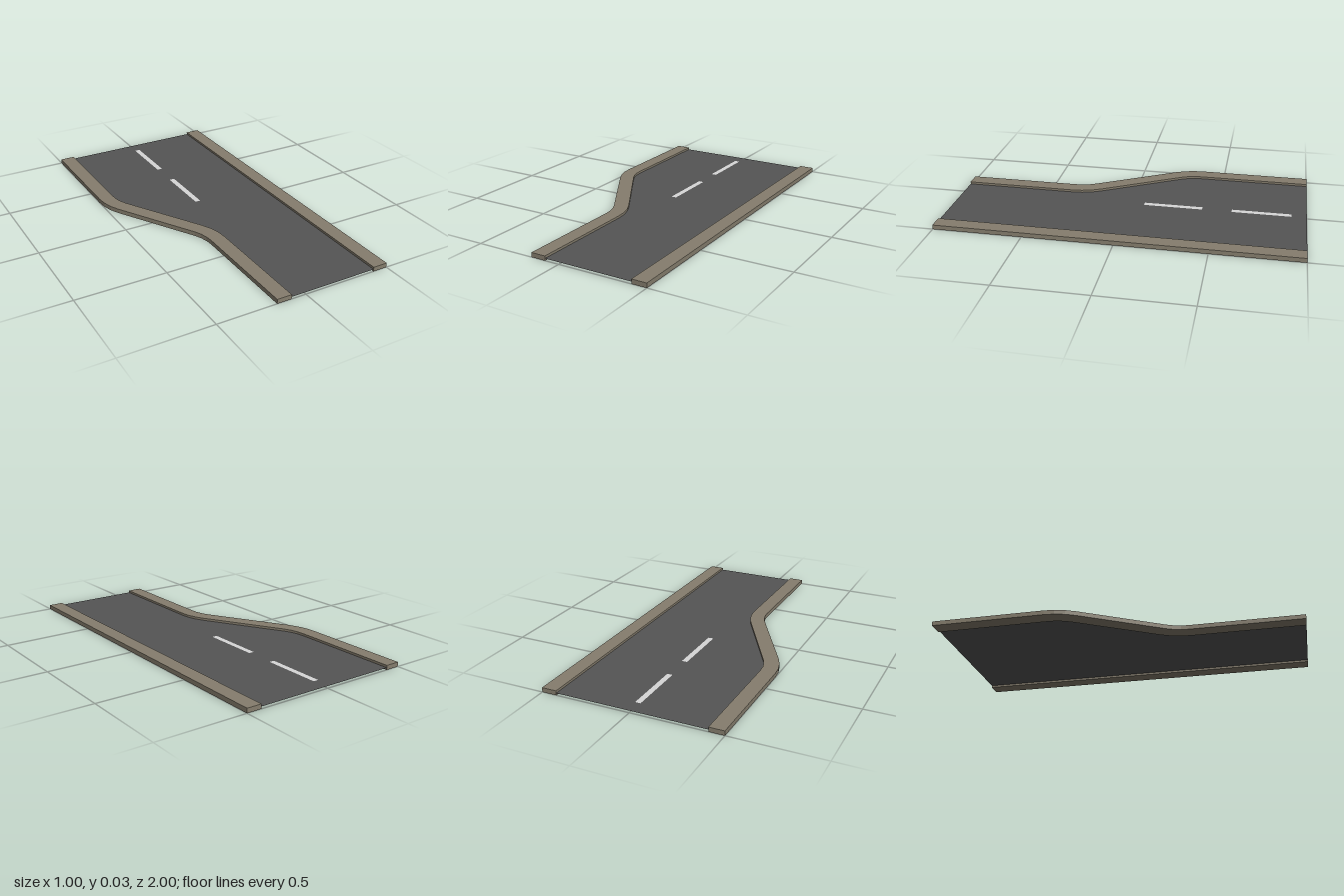
import * as THREE from 'three';

const ROAD_Y = 0.012, CURB_H = 0.025, HALF = 0.5, CURB_W = 1 / 12, LENGTH = 2;

// Edge of the narrowing side, back to front, at a given inset from the outer kerb line
function taperEdge(inset, steps = 3) {
  const pts = [[-0.5 + inset, -1]];
  for (let i = 0; i <= steps; i++) {
    const a = (i / steps) * Math.PI / 6, r = 1 / 3 - inset;
    pts.push([-1 / 6 - r * Math.cos(a), -0.366 + r * Math.sin(a)]);
  }
  for (let i = steps; i >= 0; i--) {
    const a = (i / steps) * Math.PI / 6, r = 0.25 + inset;
    pts.push([-5 / 12 + r * Math.cos(a), 0.366 - r * Math.sin(a)]);
  }
  pts.push([-1 / 6 + inset, 1]);
  return pts;
}

// Plan outline given as [x, z] pairs
const outline = (pts) => new THREE.Shape(pts.map(([x, z]) => new THREE.Vector2(x, -z)));

export function createModel() {
  const group = new THREE.Group();
  const asphalt = new THREE.MeshStandardMaterial({ color: 0x555555, side: THREE.DoubleSide });
  asphalt.name = 'asphalt';
  const stone = new THREE.MeshStandardMaterial({ color: 0x857d6d });
  stone.name = 'kerb stone';
  const paint = new THREE.MeshStandardMaterial({ color: 0xd6d6d6 });
  paint.name = 'line paint';

  const add = (name, geometry, material, x = 0, y = 0, z = 0) => {
    const mesh = new THREE.Mesh(geometry, material);
    mesh.name = name;
    mesh.position.set(x, y, z);
    group.add(mesh);
  };

  const outer = taperEdge(0), inner = taperEdge(CURB_W);

  // Thin road sheet between the two kerbs
  const innerX = HALF - CURB_W;
  const road = new THREE.ShapeGeometry(outline([...inner, [innerX, 1], [innerX, -1]]));
  add('roadSurface', road.rotateX(-Math.PI / 2), asphalt, 0, ROAD_Y, 0);

  // Kerb that follows the narrowing side
  const bent = new THREE.ExtrudeGeometry(outline([...outer, ...inner.slice().reverse()]),
    { depth: CURB_H, bevelEnabled: false });
  add('rightKerb', bent.rotateX(-Math.PI / 2), stone);

  // Straight kerb
  add('leftKerb', new THREE.BoxGeometry(CURB_W, CURB_H, LENGTH), stone,
    HALF - CURB_W / 2, CURB_H / 2, 0);

  // Centre line dashes on the wide half
  for (const z of [-0.75, -0.25]) {
    const dash = new THREE.PlaneGeometry(0.03, 1 / 3).rotateX(-Math.PI / 2);
    add('laneDash', dash, paint, 0, ROAD_Y + 0.001, z);
  }
  return group;
}
